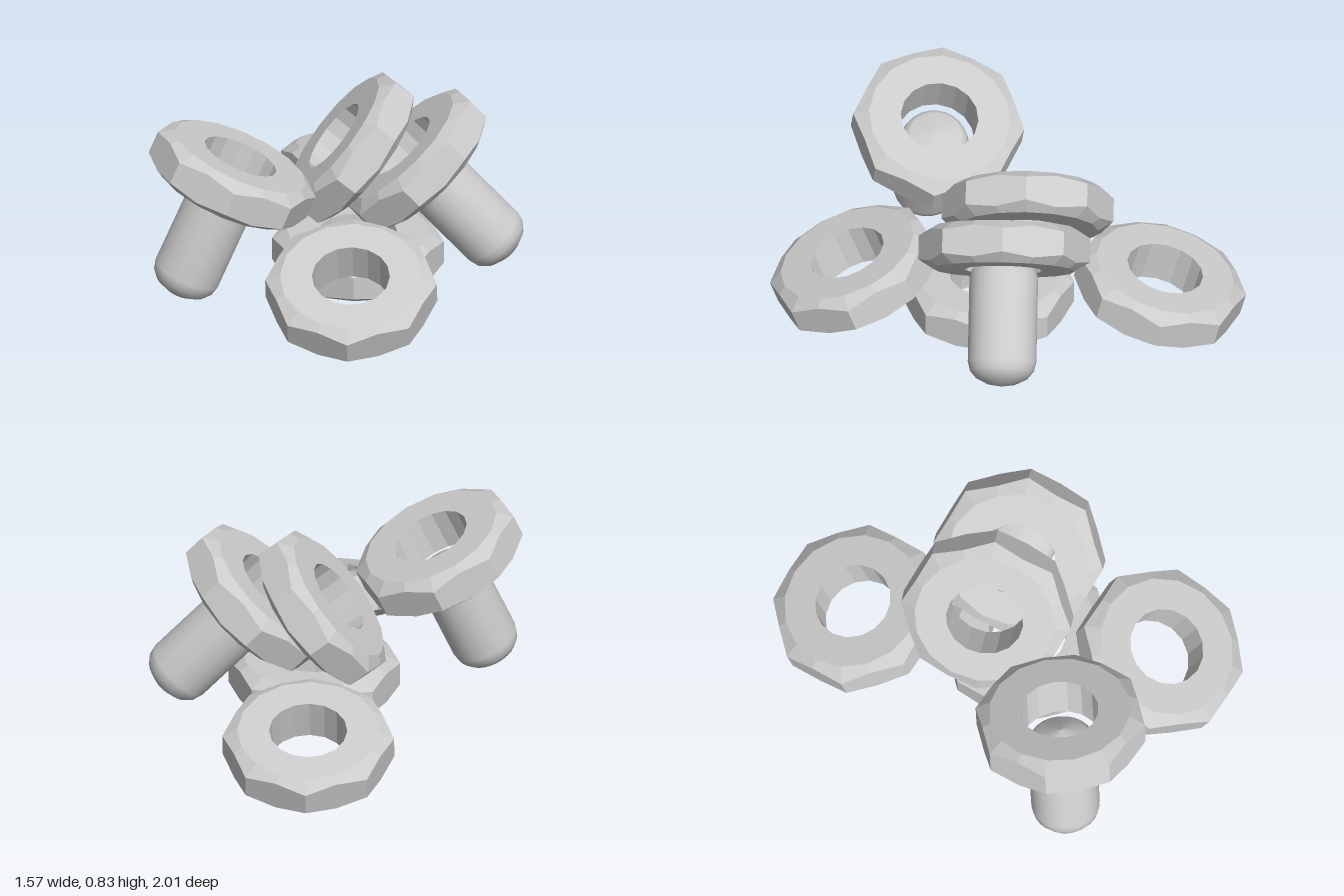
import * as THREE from 'three';

const flat = new THREE.MeshStandardMaterial({ color: 0xcccccc, flatShading: true });
const smooth = new THREE.MeshStandardMaterial({ color: 0xcccccc });
const profile = (pts) => pts.map(([x, y]) => new THREE.Vector2(x, y));

// Eight-sided ring with chamfered corners: a 16-step lathe whose
// in-between columns are pulled in to the middle of each flat side.
function nutGeometry() {
  const R = 0.363, apothem = R * Math.cos(Math.PI / 8);
  const pts = profile([
    [0.165, -0.09], [0.3, -0.09], [R, -0.05], [R, 0.05],
    [0.3, 0.09], [0.165, 0.09], [0.165, -0.09],
  ]);
  const geo = new THREE.LatheGeometry(pts, 16);
  const pos = geo.attributes.position;
  for (let i = 1; i < 16; i += 2) {
    for (const j of [2, 3]) {
      const k = i * pts.length + j, s = apothem / R;
      pos.setXYZ(k, pos.getX(k) * s, j === 2 ? -0.068 : 0.068, pos.getZ(k) * s);
    }
  }
  return geo;
}

// Round shank with domed ends, starting inside the hole of the head
function shankGeometry() {
  return new THREE.LatheGeometry(profile([
    [0, -0.585], [0.06, -0.575], [0.11, -0.55], [0.135, -0.52], [0.145, -0.48],
    [0.145, -0.12], [0.135, -0.09], [0.11, -0.065], [0, -0.03],
  ]), 24);
}

export function createModel() {
  const model = new THREE.Group();
  const nutGeo = nutGeometry(), shankGeo = shankGeometry();
  const up = new THREE.Vector3(0, 1, 0);

  // Places a nut, or a bolt with a nut-shaped head, along the given axis
  function addPiece(name, center, axis, isBolt = false) {
    const piece = new THREE.Group();
    piece.name = name;
    const ring = new THREE.Mesh(nutGeo, flat);
    ring.name = isBolt ? 'boltHead' : 'nutRing';
    piece.add(ring);
    if (isBolt) {
      const shank = new THREE.Mesh(shankGeo, smooth);
      shank.name = 'boltShank';
      piece.add(shank);
    }
    piece.position.set(...center);
    piece.quaternion.setFromUnitVectors(up, new THREE.Vector3(...axis).normalize());
    model.add(piece);
  }

  // Nuts
  addPiece('flatNut', [0.09, 0.13, 0.08], [0, 1, 0]);
  addPiece('frontNut', [0.09, 0.225, 0.645], [0, 0.937, 0.35]);
  addPiece('backNut', [0.09, 0.17, -0.645], [0, 0.968, -0.25]);
  addPiece('leaningNut', [0.05, 0.53, -0.085], [-0.77, 0.63, 0]);

  // Bolts
  addPiece('leftLeaningBolt', [0.33, 0.525, 0.005], [-0.68, 0.73, 0], true);
  addPiece('rightLeaningBolt', [-0.43, 0.59, 0.31], [0.39, 0.91, -0.11], true);

  return model;
}
